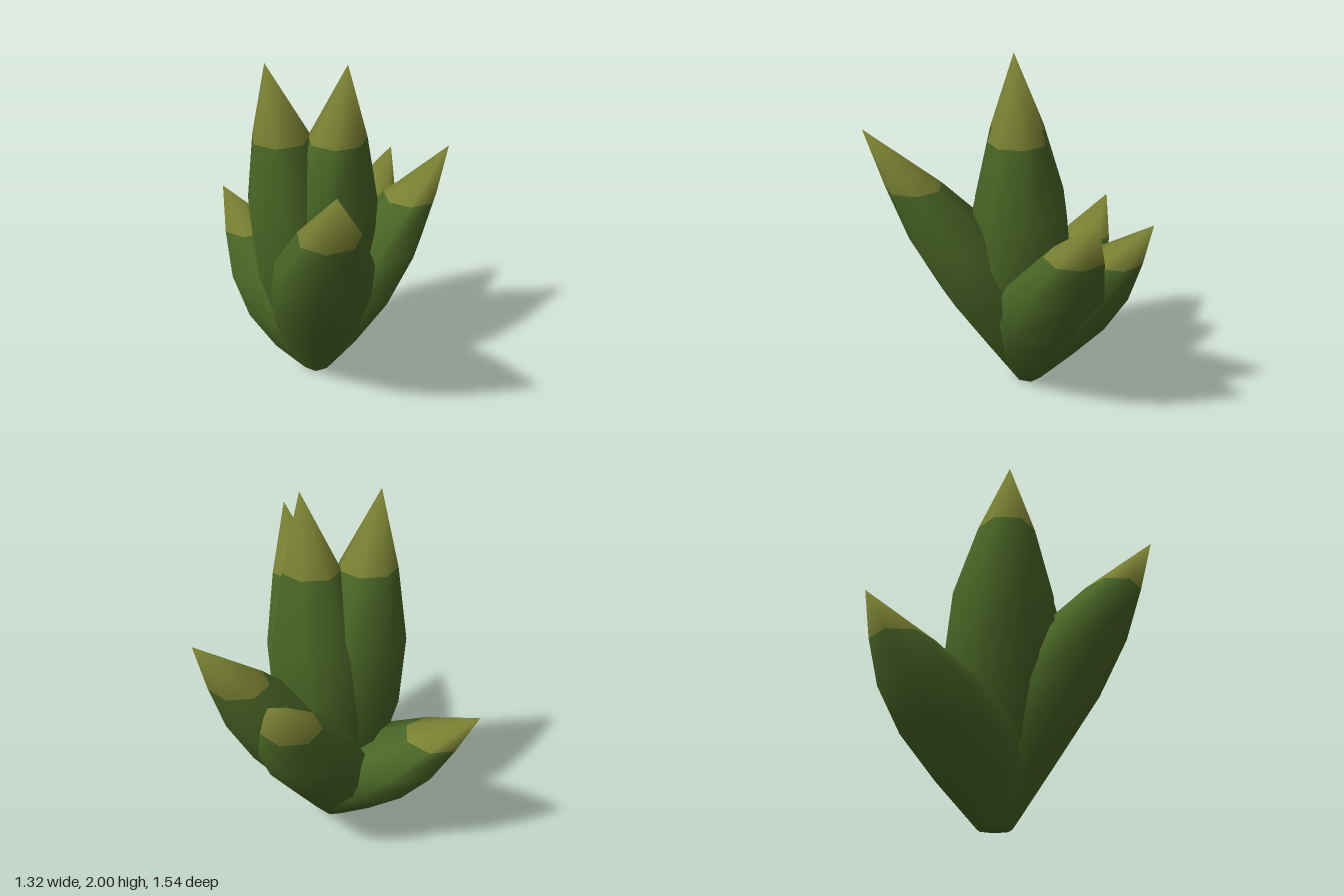
import * as THREE from 'three';

const SIDES = 7;
const BASE = { x: -0.155, z: -0.13 };
// leaf radius at equal steps of height; the last step is the pointed tip
const RADII = [0.09, 0.23, 0.3, 0.275, 0.16];

// Leaf: level seven-sided rings that swell, then narrow, curving out to a tip
function leafGeometry(tipX, tipY, tipZ) {
  const positions = [];
  const index = [];
  const rings = RADII.length;
  RADII.forEach((r, k) => {
    const t = k / rings;
    const lean = Math.pow(t, 1.45);
    const cx = BASE.x + (tipX - BASE.x) * lean;
    const cz = BASE.z + (tipZ - BASE.z) * lean;
    for (let i = 0; i < SIDES; i++) {
      const a = (i / SIDES) * Math.PI * 2;
      positions.push(cx + r * Math.cos(a), tipY * t, cz - r * Math.sin(a));
    }
  });
  positions.push(tipX, tipY, tipZ);

  // body walls
  for (let k = 0; k < rings - 1; k++) {
    for (let i = 0; i < SIDES; i++) {
      const a = k * SIDES + i;
      const b = k * SIDES + (i + 1) % SIDES;
      index.push(a, b, b + SIDES, a, b + SIDES, a + SIDES);
    }
  }
  const bodyCount = index.length;

  // pointed end
  const last = (rings - 1) * SIDES;
  for (let i = 0; i < SIDES; i++) {
    index.push(last + i, last + (i + 1) % SIDES, rings * SIDES);
  }

  const geometry = new THREE.BufferGeometry();
  geometry.setAttribute('position', new THREE.Float32BufferAttribute(positions, 3));
  geometry.setIndex(index);
  geometry.addGroup(0, bodyCount, 0);
  geometry.addGroup(bodyCount, index.length - bodyCount, 1);
  geometry.computeVertexNormals();
  return geometry;
}

export function createModel() {
  const leafGreen = new THREE.MeshStandardMaterial({ color: 0x4a6626 });
  leafGreen.name = 'leaf green';
  const tipOlive = new THREE.MeshStandardMaterial({ color: 0x7a8233 });
  tipOlive.name = 'tip olive';

  const plant = new THREE.Group();
  plant.name = 'succulent';

  // leaves, by the position of their tips
  const leaves = {
    tallRightLeaf: [-0.38, 2, -0.08],
    tallLeftLeaf: [0.02, 2, 0.01],
    frontLeaf: [-0.155, 1.68, 0.77],
    leftLeaf: [0.66, 1.41, -0.265],
    backLeftLeaf: [0.41, 1.255, -0.65],
    backRightLeaf: [-0.66, 1.005, -0.77],
  };
  for (const [name, tip] of Object.entries(leaves)) {
    const leaf = new THREE.Mesh(leafGeometry(...tip), [leafGreen, tipOlive]);
    leaf.name = name;
    plant.add(leaf);
  }

  // underside shared by all leaves
  const underside = new THREE.Mesh(new THREE.CircleGeometry(RADII[0], SIDES), leafGreen);
  underside.name = 'underside';
  underside.rotation.x = Math.PI / 2;
  underside.position.set(BASE.x, 0, BASE.z);
  plant.add(underside);

  return plant;
}
